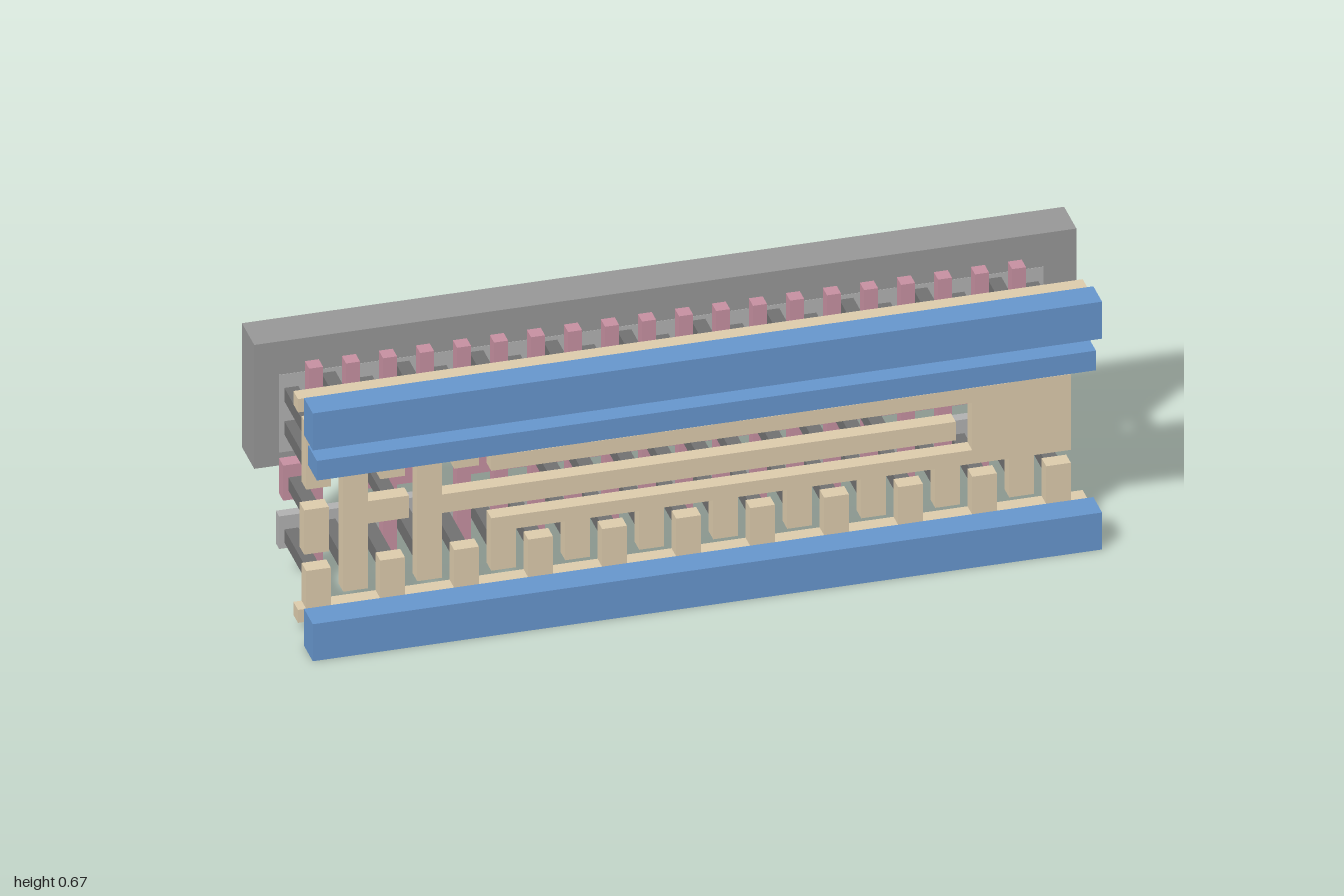
import * as THREE from 'three';

const paint = (color) => new THREE.MeshStandardMaterial({ color });
const tan = paint(0xdbcaab), blue = paint(0x6695cc), pink = paint(0xc58fa0);
const dark = paint(0x707070), grey = paint(0x969696), light = paint(0xb0b0b0);

// Depth range of each layer, back to front
const WELL = [-0.233, -0.127], DIFF = [-0.153, -0.125], GATE = [-0.127, -0.09];
const CONTACT = [-0.127, 0.068], GATE_CONTACT = [-0.125, 0.068];
const METAL = [0.068, 0.108], VIA = [0.108, 0.16], STRIP = [0.16, 0.235];

export function createModel() {
  const model = new THREE.Group();
  model.name = 'layeredCircuitCell';

  // Box given by its edges and its layer
  const slab = (name, mat, x0, x1, y0, y1, [z0, z1]) => {
    const mesh = new THREE.Mesh(new THREE.BoxGeometry(x1 - x0, y1 - y0, z1 - z0), mat);
    mesh.position.set((x0 + x1) / 2, (y0 + y1) / 2, (z0 + z1) / 2);
    mesh.name = name;
    model.add(mesh);
  };
  const post = (name, x, y, layer, h = 0.036) =>
    slab(name, dark, x - 0.017, x + 0.017, y - h / 2, y + h / 2, layer);

  // Well and diffusion at the back
  slab('well', grey, -1, 1, 0.325, 0.66, WELL);
  slab('upperDiffusion', light, -0.94, 0.92, 0.36, 0.57, [-0.14, -0.126]);
  slab('lowerDiffusion', light, -0.94, 0.92, 0.1, 0.188, DIFF);

  // Gate fingers and the plates joining them
  for (let i = 0; i < 20; i++) {
    const x = -0.86 + i * 0.09;
    slab('gateFinger', pink, x - 0.017, x + 0.017, 0.073, 0.597, GATE);
  }
  slab('inputGatePlate', pink, -0.94, -0.843, 0.25, 0.345, GATE);
  slab('secondGatePlate', pink, -0.787, -0.573, 0.25, 0.345, GATE);
  slab('mainGatePlate', pink, -0.517, 0.867, 0.25, 0.345, GATE);

  // Metal columns with their contacts: supply and signal columns alternate
  for (let i = 0; i < 21; i++) {
    const x = -0.91 + i * 0.09;
    const x0 = x - 0.03, x1 = x + 0.03;
    if (i % 2 === 0) {
      const bottom = i < 5 ? 0.39 : 0.447;
      slab('upperSupplyStub', tan, x0, x1, bottom, 0.567, METAL);
      slab('lowerSupplyTooth', tan, x0, x1, 0.068, 0.17, METAL);
      post('contact', x, 0.515, CONTACT);
      if (i < 5) post('contact', x, 0.425, CONTACT);
      post('contact', x, 0.133, CONTACT);
      post('stubVia', x, 0.513, VIA);
    } else {
      if (i < 4) {
        slab('signalColumn', tan, x0, x1, 0.1, 0.567, METAL);
      } else {
        slab('upperSignalFinger', tan, x0, x1, 0.41, 0.567, METAL);
        slab('lowerSignalFinger', tan, x0, x1, 0.1, 0.205, METAL);
      }
      for (const y of [0.538, 0.465, 0.393, 0.14]) post('contact', x, y, CONTACT, 0.042);
    }
  }

  // Output metal: two long bands closed by a block
  slab('upperOutputBand', tan, -0.49, 0.68, 0.37, 0.41, METAL);
  slab('lowerOutputBand', tan, -0.49, 0.68, 0.205, 0.242, METAL);
  slab('outputBlock', tan, 0.68, 0.92, 0.205, 0.41, METAL);

  // Metal feeding the gates
  slab('inputPad', tan, -0.945, -0.885, 0.215, 0.335, METAL);
  slab('firstGateBar', tan, -0.79, -0.69, 0.275, 0.335, METAL);
  slab('mainGateBar', tan, -0.61, 0.64, 0.275, 0.325, METAL);
  for (const x of [-0.91, -0.72, -0.32, -0.24, -0.14, -0.05, 0.04, 0.12, 0.22, 0.32, 0.41, 0.47])
    post('gateContact', x, 0.293, GATE_CONTACT);

  // Rails, front strips and the vias between them
  slab('upperRail', tan, -0.96, 0.96, 0.602, 0.638, METAL);
  slab('lowerRail', tan, -0.96, 0.96, 0.033, 0.068, METAL);
  slab('upperStrip', blue, -0.96, 0.96, 0.57, 0.67, STRIP);
  slab('middleStrip', blue, -0.95, 0.945, 0.487, 0.54, STRIP);
  slab('lowerStrip', blue, -0.96, 0.96, 0, 0.1, STRIP);
  for (let i = 0; i < 21; i++) {
    const x = -0.9 + i * 0.09;
    post('upperRailVia', x, 0.62, VIA);
    post('lowerRailVia', x, 0.05, VIA);
  }
  return model;
}
